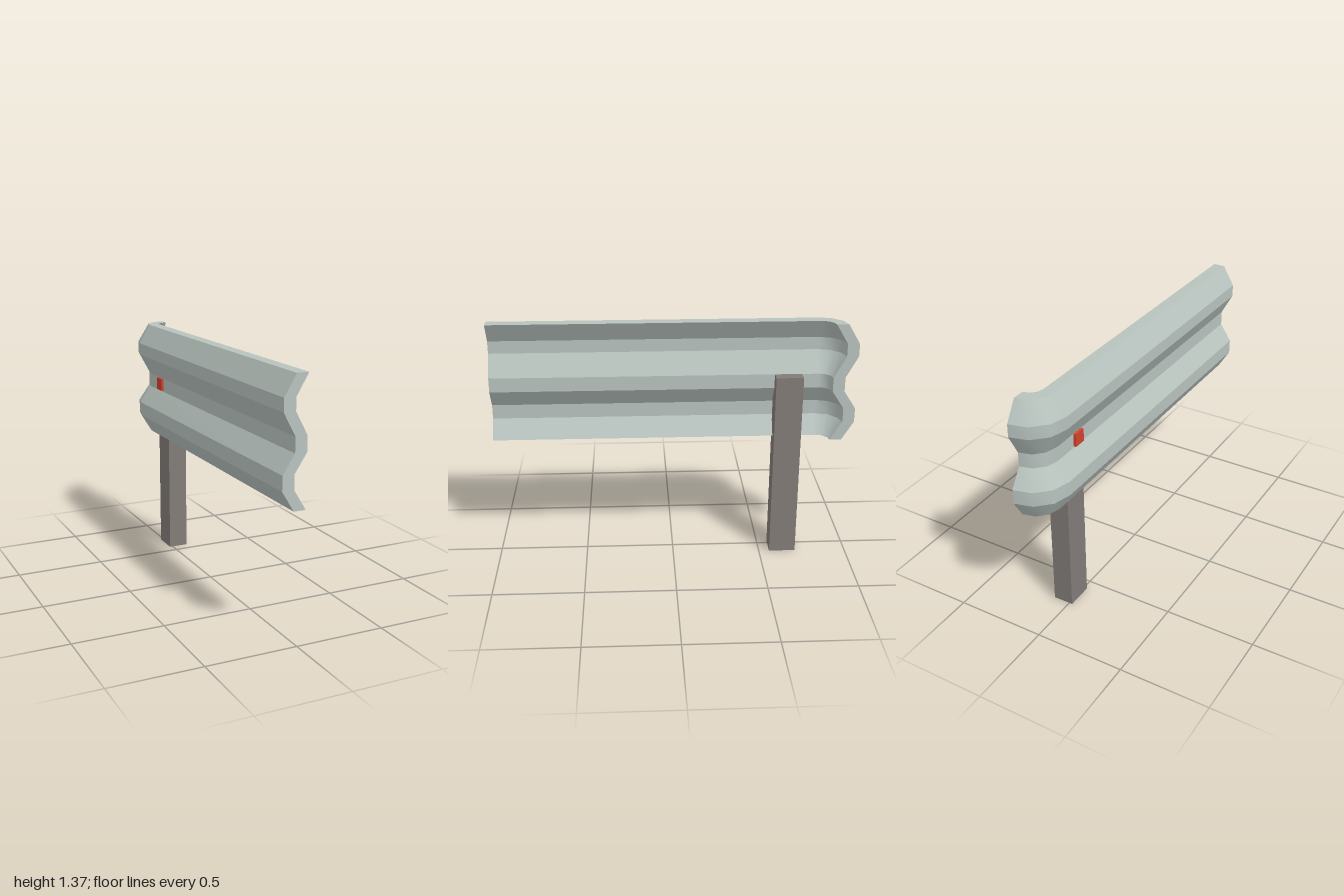
import * as THREE from 'three';

const steel = new THREE.MeshStandardMaterial({ color: 0xb8c3be });
steel.name = 'galvanised steel';
const postPaint = new THREE.MeshStandardMaterial({ color: 0x827c78 });
postPaint.name = 'post grey';
const red = new THREE.MeshStandardMaterial({ color: 0xd0432f });
red.name = 'reflector red';

// W-shaped section: [height, depth behind the outermost face]
const T = 0.065;
const OUTER = [
  [1.37, T], [1.26, 0], [1.19, 0], [1.07, T],
  [0.99, T], [0.89, 0], [0.81, 0], [0.705, T],
];
const INNER = OUTER.map(([y, d]) => [y, d + T]);

// Straight run, then a quarter turn in three steps
const STATIONS = [null, 0, Math.PI / 6, Math.PI / 3, Math.PI / 2];
function place([y, d], angle) {
  const r = 0.2 - d;
  if (angle === null) return [0.1 - r, y, 1];
  return [0.1 - r * Math.cos(angle), y, -0.8 - r * Math.sin(angle)];
}

function railGeometry() {
  const pos = [];
  const index = [];
  const loop = [...OUTER, ...INNER.slice().reverse()];

  // Each strip has its own vertices: smooth along the rail, sharp across the folds
  loop.forEach((a, i) => {
    const b = loop[(i + 1) % loop.length];
    const base = pos.length / 3;
    STATIONS.forEach((s, k) => {
      pos.push(...place(a, s), ...place(b, s));
      if (k === 0) return;
      const p = base + (k - 1) * 2;
      index.push(p, p + 2, p + 1, p + 1, p + 2, p + 3);
    });
  });

  // Flat end faces
  for (const [s, flip] of [[null, false], [Math.PI / 2, true]]) {
    for (let i = 0; i < OUTER.length - 1; i++) {
      const n = pos.length / 3;
      const quad = [OUTER[i], OUTER[i + 1], INNER[i + 1], INNER[i]];
      if (flip) quad.reverse();
      quad.forEach((q) => pos.push(...place(q, s)));
      index.push(n, n + 1, n + 2, n, n + 2, n + 3);
    }
  }

  const geo = new THREE.BufferGeometry();
  geo.setAttribute('position', new THREE.Float32BufferAttribute(pos, 3));
  geo.setIndex(index);
  geo.computeVertexNormals();
  return geo;
}

// Box given by its lower and upper corners
function box(name, material, lo, hi) {
  const size = hi.map((v, i) => v - lo[i]);
  const mesh = new THREE.Mesh(new THREE.BoxGeometry(...size), material);
  mesh.position.set(...hi.map((v, i) => (v + lo[i]) / 2));
  mesh.name = name;
  return mesh;
}

export function createModel() {
  const group = new THREE.Group();
  group.name = 'guardrail end';

  const rail = new THREE.Mesh(railGeometry(), steel);
  rail.name = 'rail';
  group.add(rail);

  group.add(box('post', postPaint, [-0.018, 0, -0.71], [0.095, 1.07, -0.56]));
  group.add(box('reflector', red, [-0.05, 0.998, -0.66], [-0.018, 1.069, -0.59]));
  return group;
}
